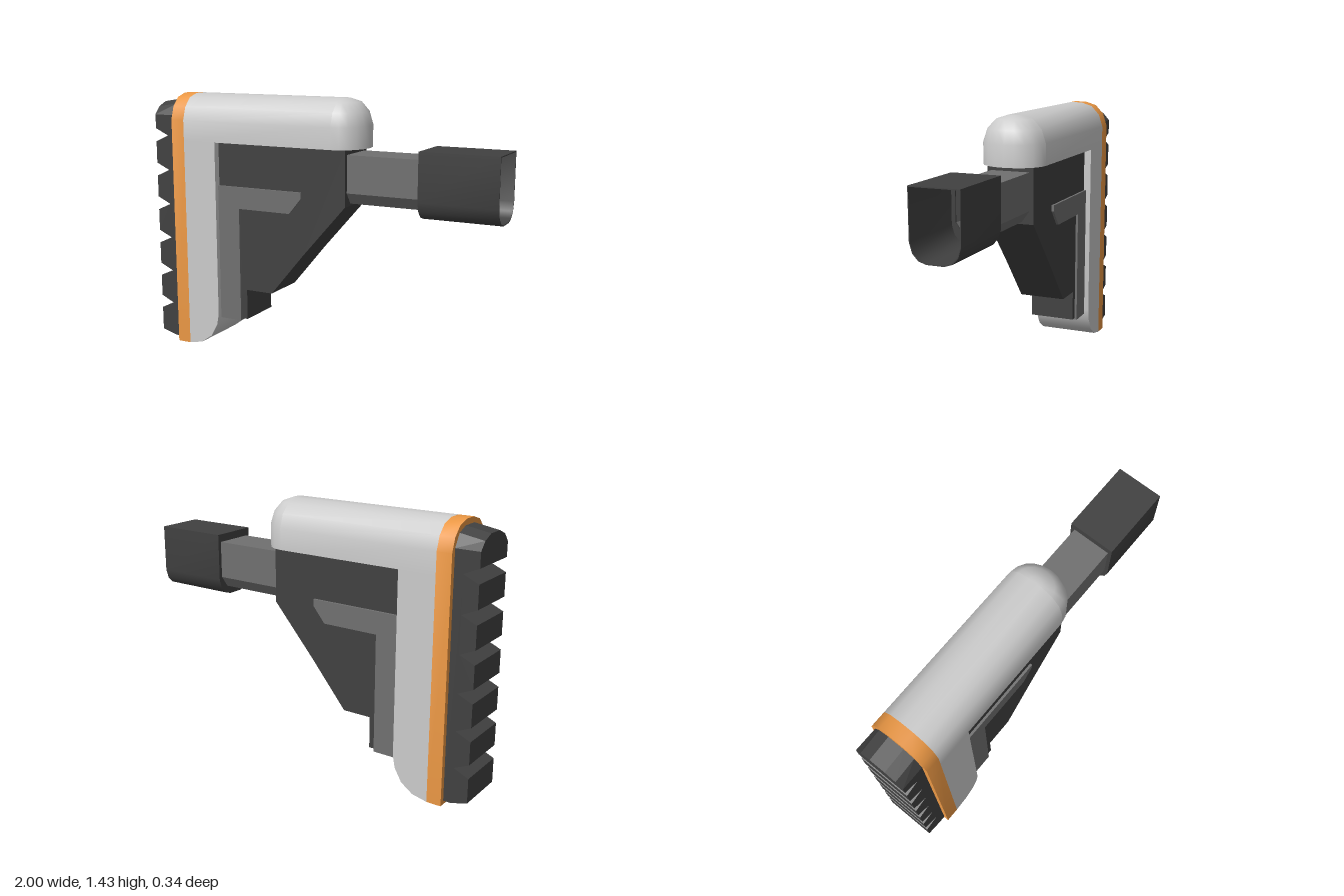
import * as THREE from 'three';
import { toCreasedNormals } from 'three/addons/utils/BufferGeometryUtils.js';

const mat = (color) => new THREE.MeshStandardMaterial({ color, side: THREE.DoubleSide });
const shell = mat(0xcccccc), dark = mat(0x414141), mid = mat(0x707070), orange = mat(0xea9744);

const toShape = (pts) => new THREE.Shape(pts.map(([x, y]) => new THREE.Vector2(x, y)));

// Mirror a half section (bottom to top, positive side) into a closed outline
const mirrored = (half) => [...half, ...half.map(([z, y]) => [-z, y]).reverse()];

// Side outline (x, y) extruded across the width
function sideSlab(pts, halfWidth, crease = 0.6) {
  const geo = new THREE.ExtrudeGeometry(toShape(pts), { depth: 2 * halfWidth, bevelEnabled: false });
  geo.translate(0, 0, -halfWidth);
  return toCreasedNormals(geo, crease);
}

// Symmetric section (z, y) extruded along x, optionally hollow
function alongX(section, x0, x1, hole, crease = 0.6) {
  const shape = toShape(section);
  if (hole) shape.holes.push(toShape(hole));
  const geo = new THREE.ExtrudeGeometry(shape, { depth: x1 - x0, bevelEnabled: false });
  geo.rotateY(Math.PI / 2).translate(x0, 0, 0);
  return toCreasedNormals(geo, crease);
}

// Slightly smaller copy of a section, used as the bore of a thin tube
const inset = (pts, cy, s = 0.97) => pts.map(([z, y]) => [z * s, cy + (y - cy) * s]);

export function createModel() {
  const model = new THREE.Group();
  const add = (name, geo, material) => {
    const mesh = new THREE.Mesh(geo, material);
    mesh.name = name;
    model.add(mesh);
  };

  // Rounded top shared by the cheek rest, its nose and the coloured plate
  const dome = [[0.17, 1.29], [0.147, 1.36], [0.1, 1.41], [0.035, 1.43]];

  // Cheek rest with a domed front end
  add('cheekRest', alongX(mirrored([[0.17, 1.175], ...dome]), -0.79, 0.12), shell);
  const noseProfile = [[0, 1.175], [0.17, 1.175], ...dome, [0, 1.43]];
  const nose = new THREE.LatheGeometry(noseProfile.map(([r, y]) => new THREE.Vector2(r, y)), 10, 0, Math.PI);
  nose.scale(0.145 / 0.17, 1, 1).translate(0.12, 0, 0);
  add('cheekRestNose', toCreasedNormals(nose.toNonIndexed(), 0.7), shell);

  // Upright rear column with a curved toe
  add('rearColumn', sideSlab([
    [-0.79, 0], [-0.706, 0.018], [-0.64, 0.065], [-0.6, 0.135], [-0.588, 0.2],
    [-0.588, 1.175], [-0.79, 1.175],
  ], 0.17), shell);

  // Coloured spacer plate
  add('spacerPlate', alongX(mirrored([[0.17, 0], ...dome]), -0.87, -0.79), orange);

  // Rubber pad: toothed back with V grooves
  const teeth = [[-0.87, 1.31], [-0.87, 0.02], [-0.91, 0.02], [-1, 0.045]];
  for (let i = 0; i < 6; i++) {
    const y = 0.215 + i * 0.196;
    teeth.push([-1, y - 0.037], [-0.918, y], [-1, y + 0.037]);
  }
  teeth.push([-1, 1.31]);
  add('buttPad', sideSlab(teeth.reverse(), 0.143, 0.1), dark);

  // Chamfered pad top, sloping down towards the back
  const padTop = alongX(mirrored([[0.143, 1.31], [0.105, 1.375], [0.045, 1.4]]), -1, -0.87, null, 0.1);
  const p = padTop.attributes.position;
  for (let i = 0; i < p.count; i++) {
    if (p.getX(i) < -0.95 && p.getY(i) > 1.32) p.setY(i, p.getY(i) - 0.022);
  }
  padTop.computeVertexNormals();
  add('buttPadTop', padTop, dark);

  // Central body with its slanted underside
  add('body', sideSlab([
    [-0.588, 0.185], [-0.42, 0.185], [-0.42, 0.355], [-0.26, 0.355], [-0.06, 0.595],
    [0.185, 0.875], [0.185, 1.175], [-0.588, 1.175],
  ], 0.13, 0.1), dark);

  // Raised angled side panels
  add('sidePanels', sideSlab([
    [-0.588, 0.175], [-0.455, 0.175], [-0.455, 0.815], [-0.14, 0.815],
    [-0.07, 0.9], [-0.07, 0.935], [-0.588, 0.935],
  ], 0.143, 0.1), mid);

  // Hollow connecting tube with chamfered lower corners
  const tube = mirrored([[0.065, 0.887], [0.108, 0.947], [0.108, 1.147]]);
  const bore = inset(tube, 1.02);
  add('connectingTube', alongX(tube, 0.185, 0.59, bore, 0.1), mid);

  // Open sleeve with rounded lower corners, and the wall behind it
  const sleeve = mirrored([
    [0.045, 0.84], [0.085, 0.853], [0.115, 0.885], [0.13, 0.935], [0.13, 1.19],
  ]);
  add('sleeve', alongX(sleeve, 0.585, 1, inset(sleeve, 1.015)), dark);
  add('sleeveBackWall', alongX(inset(sleeve, 1.015, 0.98), 0.587, 0.597, bore), dark);

  return model;
}
